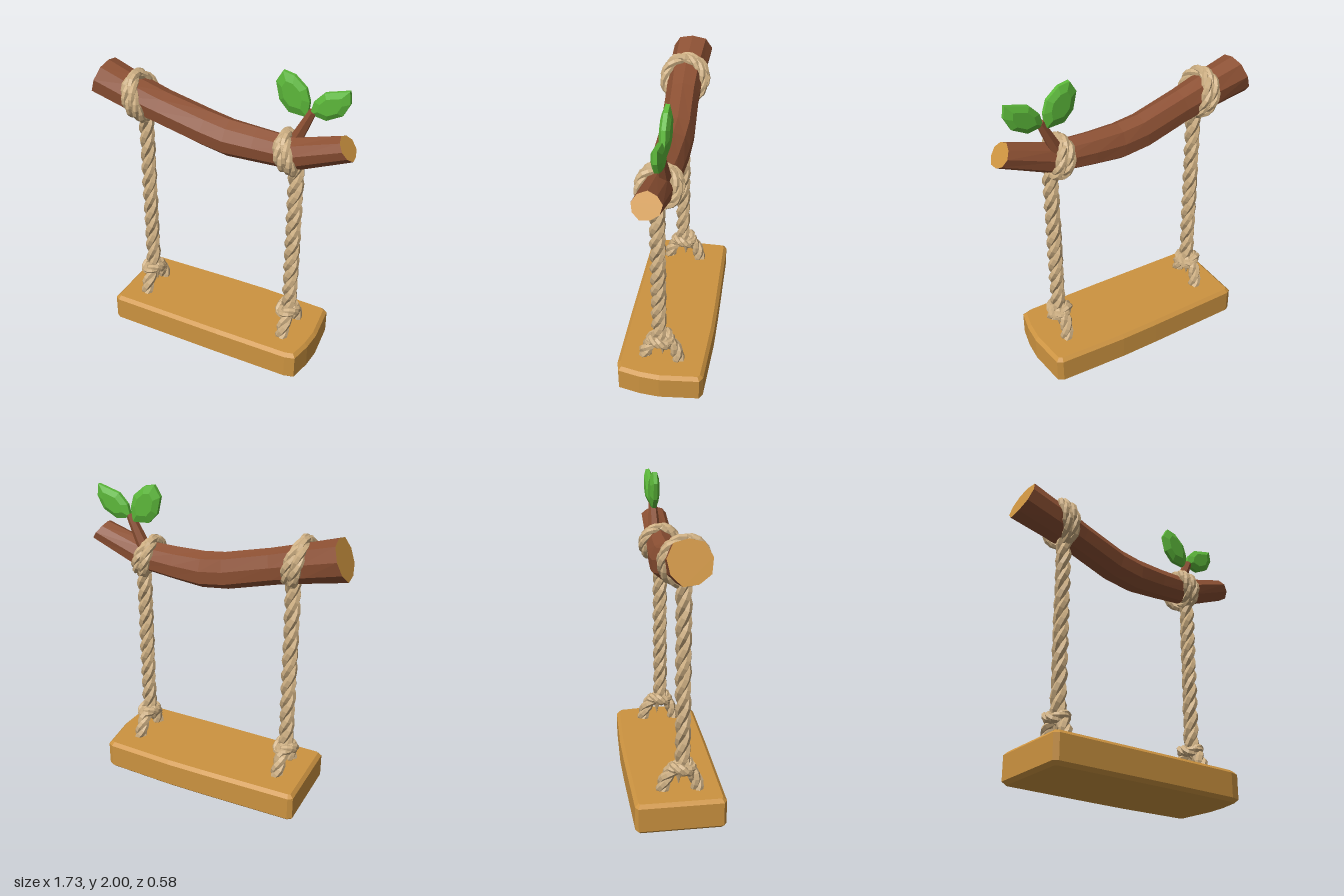
import * as THREE from 'three';
import { ConvexGeometry } from 'three/addons/geometries/ConvexGeometry.js';

const V = (x, y, z) => new THREE.Vector3(x, y, z);

function material(name, color) {
  const m = new THREE.MeshStandardMaterial({ color, flatShading: true });
  m.name = name;
  return m;
}

function addMesh(parent, name, geometry, mat) {
  const mesh = new THREE.Mesh(geometry, mat);
  mesh.name = name;
  parent.add(mesh);
  return mesh;
}

// Three strands twisted around a path
function rope(parent, name, curve, turns, offset, radius, closed = false) {
  const group = new THREE.Group();
  group.name = name;
  const n = Math.round(turns * 8);
  const frames = curve.computeFrenetFrames(n, closed);
  for (let s = 0; s < 3; s++) {
    const points = [];
    for (let i = 0; i < (closed ? n : n + 1); i++) {
      const a = (i / n) * turns * Math.PI * 2 + (s * Math.PI * 2) / 3;
      points.push(curve.getPointAt(i / n)
        .addScaledVector(frames.normals[i], Math.cos(a) * offset)
        .addScaledVector(frames.binormals[i], Math.sin(a) * offset));
    }
    const path = new THREE.CatmullRomCurve3(points, closed);
    addMesh(group, 'strand', new THREE.TubeGeometry(path, n, radius, 6, closed), parent.userData.rope);
  }
  parent.add(group);
}

// Closed path from a function of the angle
function loop(fn, count = 16) {
  const points = [];
  for (let i = 0; i < count; i++) points.push(fn((i / count) * Math.PI * 2));
  return new THREE.CatmullRomCurve3(points, true);
}

// Bent branch: sections of [x, y, z, half height, half depth, slope angle]
function buildBranch(group, bark, wood) {
  const sections = [
    [-0.825, 1.73, 0.01, 0.13, 0.127, -0.36],
    [-0.6, 1.665, 0.02, 0.12, 0.116, -0.3],
    [-0.4, 1.61, 0.015, 0.112, 0.106, -0.25],
    [-0.1, 1.53, 0.0, 0.115, 0.106, -0.18],
    [0.06, 1.505, 0.005, 0.116, 0.106, 0],
    [0.25, 1.507, 0.01, 0.106, 0.1, 0],
    [0.5, 1.515, 0.025, 0.096, 0.092, 0.2],
    [0.815, 1.63, 0.028, 0.078, 0.086, 0.62],
  ];
  const sides = 9;
  const positions = [], index = [];
  sections.forEach(([x, y, z, ry, rz, t], i) => {
    for (let j = 0; j < sides; j++) {
      const a = ((j + 0.25) / sides) * Math.PI * 2;
      const k = 1.01 + 0.045 * Math.sin(j * 2.4 + i * 0.5);
      const v = Math.sin(a) * ry * k;
      positions.push(x - Math.sin(t) * v, y + Math.cos(t) * v, z + Math.cos(a) * rz * k);
    }
  });
  const last = sections.length - 1;
  for (let i = 0; i < last; i++) {
    for (let j = 0; j < sides; j++) {
      const a = i * sides + j, c = i * sides + ((j + 1) % sides);
      index.push(a, a + sides, c + sides, a, c + sides, c);
    }
  }
  const lofted = (idx) => {
    const g = new THREE.BufferGeometry();
    g.setAttribute('position', new THREE.Float32BufferAttribute(positions, 3));
    g.setIndex(idx);
    const flat = g.toNonIndexed();
    flat.computeVertexNormals();
    return flat;
  };
  addMesh(group, 'branchBark', lofted(index), bark);
  // Cut ends
  const leftCap = [], rightCap = [], o = last * sides;
  for (let j = 1; j < sides - 1; j++) {
    leftCap.push(0, j, j + 1);
    rightCap.push(o, o + j + 1, o + j);
  }
  addMesh(group, 'rightCutEnd', lofted(leftCap), wood);
  addMesh(group, 'leftCutEnd', lofted(rightCap), wood);
}

// Leaf: a flat outline swelling towards its middle
function leaf(group, name, outline, mat) {
  const cx = outline.reduce((s, p) => s + p[0], 0) / outline.length;
  const cy = outline.reduce((s, p) => s + p[1], 0) / outline.length;
  const points = [];
  for (const [x, y] of outline) {
    for (const side of [-1, 1]) {
      points.push(V(x, y, -0.018 + side * 0.012));
      points.push(V(cx + (x - cx) * 0.6, cy + (y - cy) * 0.6, -0.018 + side * 0.03));
    }
  }
  addMesh(group, name, new ConvexGeometry(points), mat);
}

export function createModel() {
  const model = new THREE.Group();
  model.name = 'branchSwing';
  const bark = material('bark', 0x8c5033);
  const wood = material('cutWood', 0xcc9340);
  const ropeMat = material('rope', 0xccae82);
  const green = material('leafGreen', 0x5cb83a);

  // Seat plank with slightly uneven, bevelled edges
  const outline = [
    [-0.69, -0.26], [-0.66, -0.28], [0.1, -0.288], [0.6, -0.288], [0.665, -0.27], [0.695, -0.13],
    [0.705, 0], [0.68, 0.255], [0.645, 0.277], [0.2, 0.295], [-0.05, 0.294], [-0.66, 0.283], [-0.69, 0.265],
  ];
  const b = 0.022;
  const shape = new THREE.Shape(outline.map(([x, y]) => new THREE.Vector2(x, y)));
  const plank = new THREE.ExtrudeGeometry(shape, {
    depth: 0.2 - 2 * b, bevelThickness: b, bevelSize: b, bevelOffset: -b, bevelSegments: 1,
  });
  plank.rotateX(-Math.PI / 2).translate(0, b, 0);
  addMesh(model, 'seat', plank, wood);

  // Branch
  const branch = new THREE.Group();
  branch.name = 'branch';
  buildBranch(branch, bark, wood);
  model.add(branch);

  // Twig with two leaves
  const twig = new THREE.CylinderGeometry(0.026, 0.046, 0.27, 6);
  twig.rotateZ(-0.44).translate(0.518, 1.665, -0.012);
  addMesh(model, 'twig', twig, bark);
  leaf(model, 'rightLeaf', [[0.545, 1.745], [0.43, 1.755], [0.37, 1.82], [0.345, 1.93],
    [0.385, 2.0], [0.455, 1.985], [0.53, 1.92], [0.555, 1.84]], green);
  leaf(model, 'leftLeaf', [[0.56, 1.77], [0.58, 1.85], [0.64, 1.915], [0.785, 1.955],
    [0.795, 1.88], [0.755, 1.8], [0.66, 1.75]], green);

  // Ropes: hanging length, coils around the branch, knot and legs at the seat
  const ropes = [
    { name: 'rightRope', x: -0.515, top: 1.55, ring: V(-0.545, 1.66, 0.025), ry: 0.127, rz: 0.12 },
    { name: 'leftRope', x: 0.512, top: 1.45, ring: V(0.465, 1.515, 0.02), ry: 0.102, rz: 0.105 },
  ];
  for (const { name, x, top, ring, ry, rz } of ropes) {
    const g = new THREE.Group();
    g.name = name;
    g.userData.rope = ropeMat;
    rope(g, 'hangingRope', new THREE.LineCurve3(V(x, 0.33, 0.028), V(x, top, 0.028)), 4, 0.025, 0.027);
    for (const side of [-1, 1]) {
      const grow = side > 0 ? 0.006 : 0;
      rope(g, 'branchCoil', loop((a) => V(
        ring.x - 0.032 * Math.sin(a) + side * 0.028 * Math.cos(a),
        ring.y + (ry + grow) * Math.sin(a),
        ring.z + (rz + grow) * Math.cos(a))), 3, 0.016, 0.021, true);
    }
    const kx = x - 0.005;
    rope(g, 'knot', loop((a) => V(
      kx + 0.052 * Math.cos(a),
      0.355 + 0.016 * Math.sin(2 * a),
      0.02 + 0.06 * Math.sin(a)), 12), 2, 0.016, 0.02, true);
    const arch = new THREE.CatmullRomCurve3([
      V(x - 0.005, 0.185, 0.125), V(x, 0.27, 0.108), V(x + 0.005, 0.335, 0.06), V(x, 0.36, 0.015),
      V(x - 0.005, 0.335, -0.04), V(x, 0.27, -0.082), V(x + 0.01, 0.185, -0.098),
    ]);
    rope(g, 'seatLegs', arch, 2, 0.02, 0.025);
    // Loose tail under the knot
    const tail = new THREE.ConeGeometry(0.026, 0.1, 6);
    tail.rotateX(Math.PI).translate(x + 0.01, 0.275, 0.005);
    addMesh(g, 'ropeTail', tail, ropeMat);
    g.userData = {};
    model.add(g);
  }
  return model;
}
